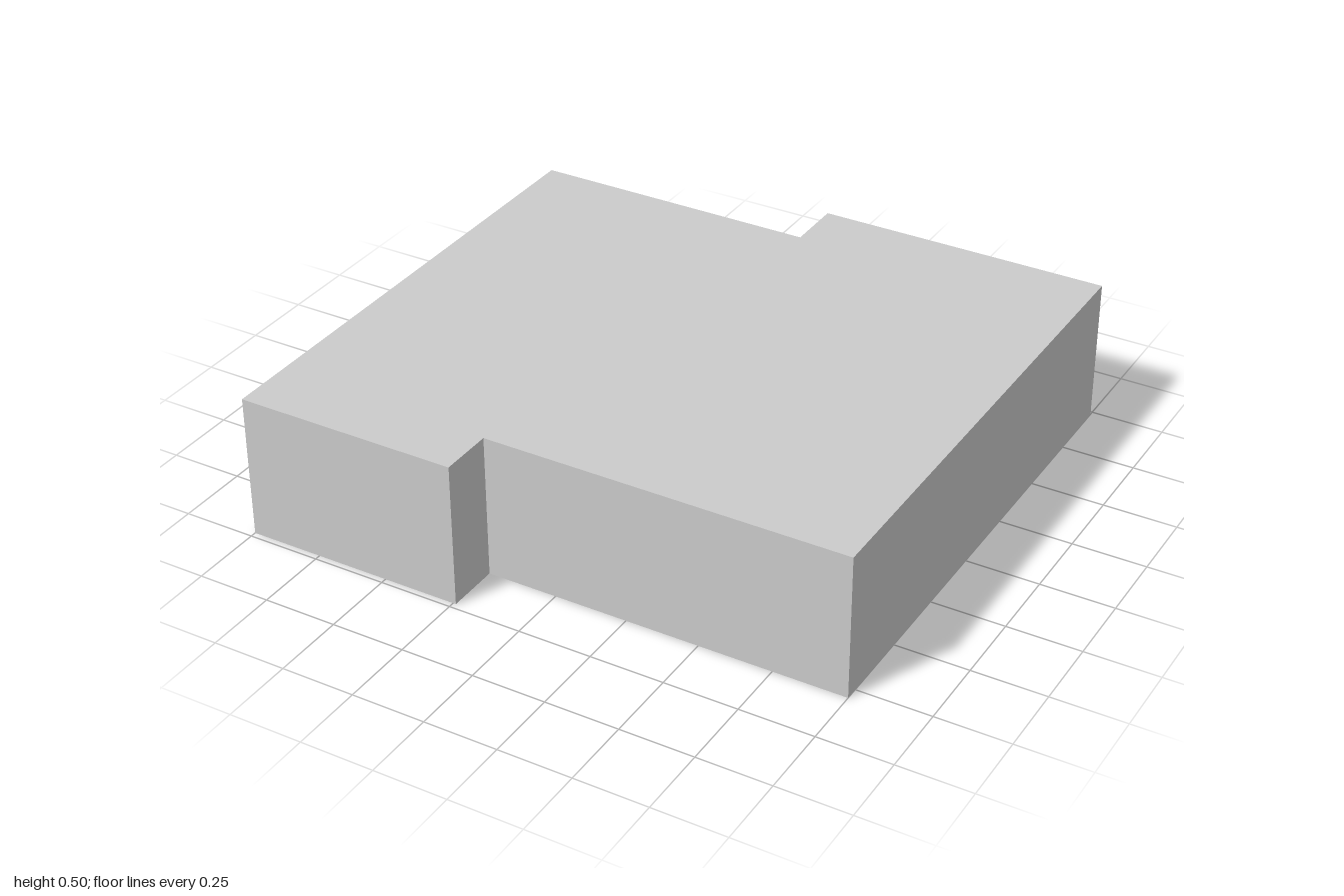
import * as THREE from 'three';

const HEIGHT = 0.495, FLOOR = 0.06, CEILING = 0.4;

export function createModel() {
  const group = new THREE.Group();
  const material = new THREE.MeshStandardMaterial({ color: 0xcccccc, flatShading: true });

  const add = (geometry, name) => {
    const mesh = new THREE.Mesh(geometry, material);
    mesh.name = name;
    group.add(mesh);
    return mesh;
  };

  const rect = (u0, u1, y0, y1, Type = THREE.Path) =>
    new Type([[u0, y0], [u1, y0], [u1, y1], [u0, y1]].map(p => new THREE.Vector2(...p)));

  // Upright wall from a to b (x, z), thickened inward, with [u0, u1, y0, y1] openings
  const wall = (name, a, b, openings = [], thickness = 0.06) => {
    const dx = b[0] - a[0], dz = b[1] - a[1];
    const shape = rect(0, Math.hypot(dx, dz), 0, HEIGHT, THREE.Shape);
    shape.holes = openings.map(o => rect(...o));
    const geometry = new THREE.ExtrudeGeometry(shape, { depth: thickness, bevelEnabled: false });
    geometry.translate(0, 0, -thickness);
    const mesh = add(geometry, name);
    mesh.rotation.y = Math.atan2(-dz, dx);
    mesh.position.set(a[0], 0, a[1]);
  };

  const box = (name, x0, x1, y0, y1, z0, z1) =>
    add(new THREE.BoxGeometry(x1 - x0, y1 - y0, z1 - z0), name)
      .position.set((x0 + x1) / 2, (y0 + y1) / 2, (z0 + z1) / 2);

  // Stepped footprint as x, z corners
  const plan = [
    [-1, 0.98], [-0.24, 0.98], [-0.24, 0.795], [1, 0.795],
    [1, -0.985], [-0.01, -0.985], [-0.01, -0.785], [-1, -0.785],
  ];

  // Floor and roof slabs
  const outline = new THREE.Shape(plan.map(([x, z]) => new THREE.Vector2(x, -z)));
  for (const [name, y0, y1] of [['floor', 0, FLOOR], ['roof', CEILING, HEIGHT]]) {
    const slab = new THREE.ExtrudeGeometry(outline, { depth: y1 - y0, bevelEnabled: false });
    slab.rotateX(-Math.PI / 2);
    slab.translate(0, y0, 0);
    add(slab, name);
  }

  // Outer walls, with a window and a wide opening at the back
  const names = ['frontBayWall', 'frontBayReturn', 'frontWall', 'leftWall',
    'backBayWall', 'backBayReturn', 'backWall', 'rightWall'];
  const openings = {
    backBayWall: [[0.32, 0.72, 0.17, 0.37]],
    backWall: [[0.045, 0.73, FLOOR, CEILING]],
  };
  names.forEach((name, i) => wall(name, plan[i], plan[(i + 1) % plan.length], openings[name]));

  // Dividing wall with a doorway and a narrow slot
  wall('dividingWall', [-0.055, -0.785], [-0.055, 0.74],
    [[0.14, 0.27, FLOOR, CEILING], [0.3, 0.35, FLOOR, CEILING]], 0.05);
  box('post', -0.1, -0.05, FLOOR, CEILING, -0.44, -0.38);

  // Thick inner mass along the right side
  box('innerRightWall', -0.95, -0.74, FLOOR, CEILING, -0.75, 0.93);

  return group;
}
